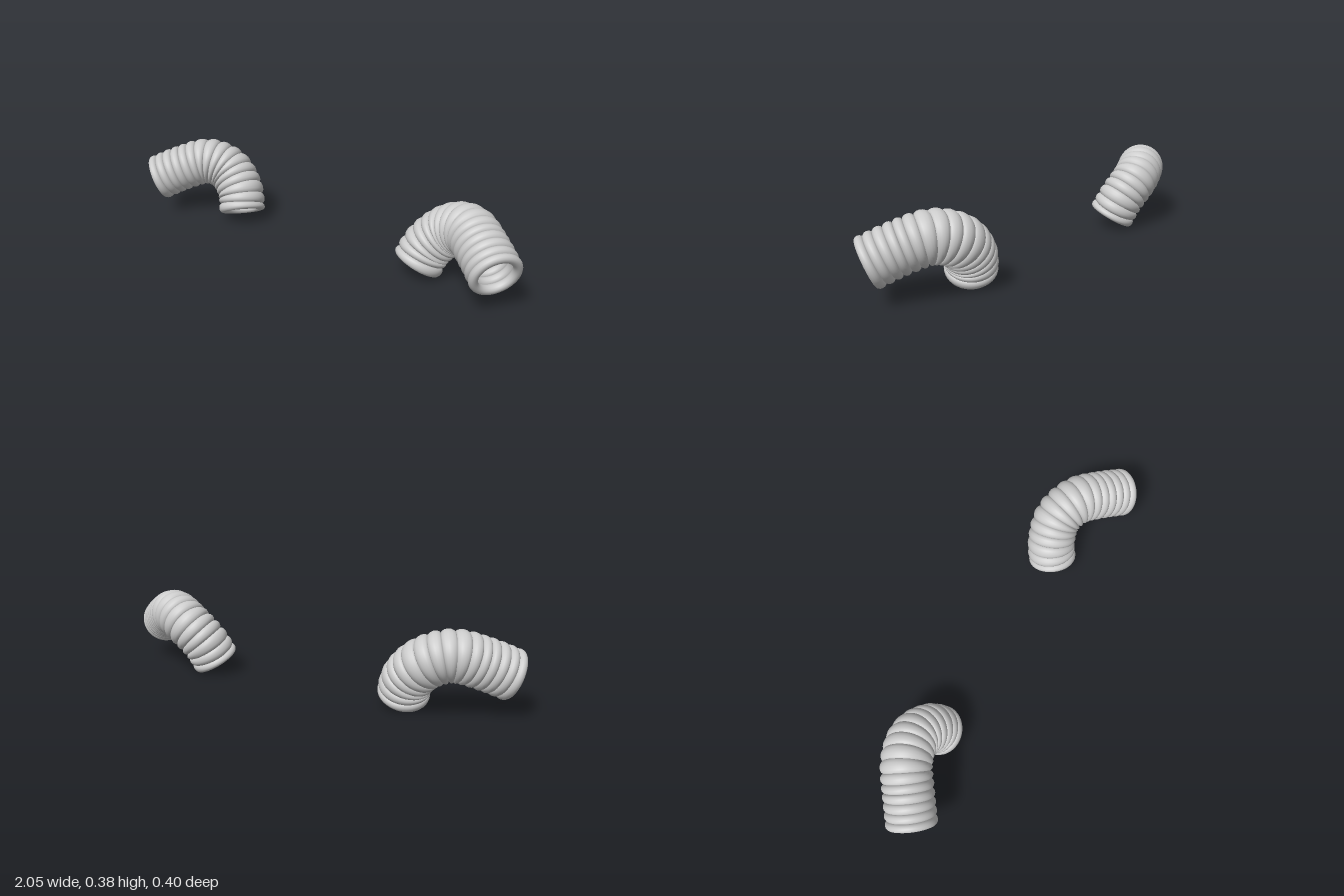
import * as THREE from 'three';
import { mergeVertices } from 'three/addons/utils/BufferGeometryUtils.js';

const RIBS = 16;
const RADIUS = 0.095;
const RIB = 0.02;

// Centre line of the sleeve on the +x side, from its inner to its outer opening
const PATH = [
  [0.509, 0.05, -0.039],
  [0.545, 0.14, -0.073],
  [0.635, 0.228, -0.094],
  [0.74, 0.264, -0.058],
  [0.85, 0.228, 0.02],
  [0.955, 0.172, 0.1],
];

// One rib: a torus bent along a short stretch of the curve, so it fans out round the bend
function ribGeometry(curve, planeNormal, index) {
  const geometry = new THREE.TorusGeometry(RADIUS, RIB, 14, 56);
  geometry.deleteAttribute('uv');
  geometry.deleteAttribute('normal');
  const position = geometry.attributes.position;
  const normal = new THREE.Vector3();
  const binormal = new THREE.Vector3();
  const halfWidth = 0.54 / RIBS;
  for (let i = 0; i < position.count; i++) {
    const t = (index + 0.5) / RIBS + (position.getZ(i) / RIB) * halfWidth;
    const u = THREE.MathUtils.clamp(t, 0, 1);
    const tangent = curve.getTangentAt(u);
    normal.crossVectors(planeNormal, tangent).normalize();
    binormal.crossVectors(tangent, normal);
    const p = curve.getPointAt(u)
      .addScaledVector(normal, position.getX(i))
      .addScaledVector(binormal, position.getY(i));
    position.setXYZ(i, p.x, p.y, p.z);
  }
  const merged = mergeVertices(geometry, 1e-5);
  merged.computeVertexNormals();
  return merged;
}

// A ribbed, open-ended sleeve
function makeSleeve(side, material) {
  const sleeve = new THREE.Group();
  const curve = new THREE.CatmullRomCurve3(
    PATH.map(([x, y, z]) => new THREE.Vector3(side * x, y, z)));
  const planeNormal = curve.getTangentAt(0).cross(curve.getTangentAt(1)).normalize();
  for (let i = 0; i < RIBS; i++) {
    const rib = new THREE.Mesh(ribGeometry(curve, planeNormal, i), material);
    rib.name = `rib${i + 1}`;
    sleeve.add(rib);
  }
  sleeve.name = side > 0 ? 'leftSleeve' : 'rightSleeve';
  return sleeve;
}

export function createModel() {
  const model = new THREE.Group();
  model.name = 'ribbedSleeves';
  const material = new THREE.MeshStandardMaterial({ color: 0xcccccc });
  for (const side of [1, -1]) model.add(makeSleeve(side, material));
  return model;
}
